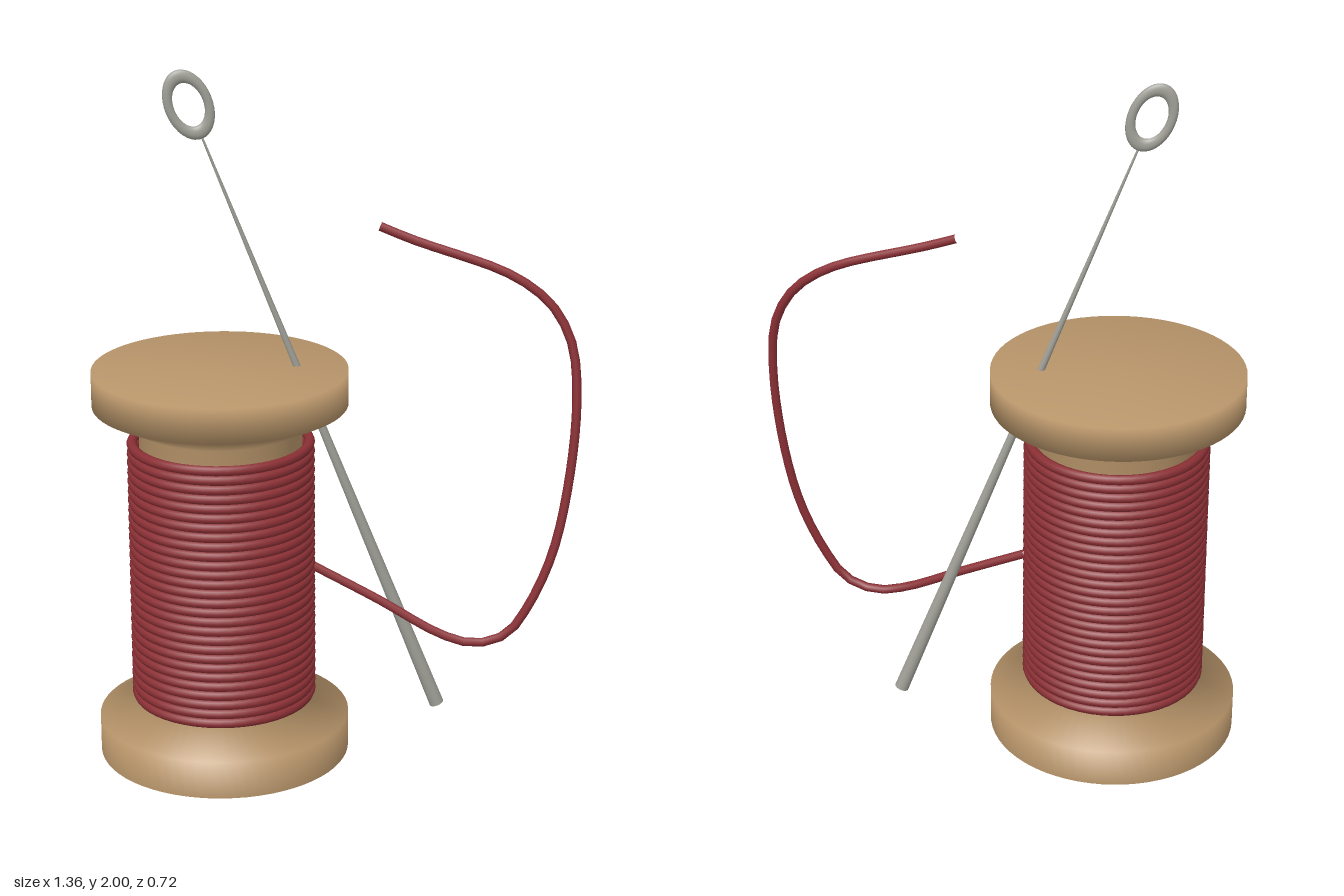
import * as THREE from 'three';

const material = (name, color, side = THREE.FrontSide) => {
  const m = new THREE.MeshStandardMaterial({ color, side });
  m.name = name;
  return m;
};

export function createModel() {
  const model = new THREE.Group();
  const wood = material('wood', 0xb8956a, THREE.DoubleSide);
  const red = material('redThread', 0x8b3035);
  const steel = material('steel', 0xa0a098);
  const add = (parent, name, geometry, mat) => {
    const mesh = new THREE.Mesh(geometry, mat);
    mesh.name = name;
    parent.add(mesh);
    return mesh;
  };

  // Hollow wooden spool, open underneath, with flared flanges
  const spool = new THREE.Group();
  spool.name = 'spool';
  spool.position.x = -0.32;
  model.add(spool);
  const profile = [
    [0.36, 0], [0.36, 0.11], [0.23, 0.17], [0.23, 0.985],
    [0.36, 1.05], [0.36, 1.15], [0, 1.15],
  ].map(([r, y]) => new THREE.Vector2(r, y));
  add(spool, 'spoolBody', new THREE.LatheGeometry(profile, 64), wood);

  // Wound thread: one ring per turn
  const turns = 28, low = 0.18, high = 0.935;
  const ring = new THREE.TorusGeometry(0.251, 0.0145, 8, 48);
  ring.rotateX(Math.PI / 2);
  for (let i = 0; i < turns; i++) {
    const y = low + (high - low) * i / (turns - 1);
    add(spool, 'threadTurn', ring, red).position.y = y;
  }

  // Loose end of the thread
  const path = new THREE.CatmullRomCurve3([
    [-0.06, 0.55, 0.01], [0.12, 0.46, 0.065], [0.30, 0.365, 0.125],
    [0.39, 0.345, 0.147], [0.475, 0.375, 0.165], [0.53, 0.45, 0.173],
    [0.60, 0.61, 0.174], [0.645, 0.82, 0.165], [0.665, 1.07, 0.153],
    [0.65, 1.23, 0.135], [0.60, 1.33, 0.115], [0.54, 1.385, 0.1],
    [0.46, 1.43, 0.08], [0.22, 1.51, 0.025], [0.13, 1.545, 0],
  ].map((p) => new THREE.Vector3(...p)));
  add(model, 'looseThread', new THREE.TubeGeometry(path, 40, 0.013, 8), red);

  // Needle leaning through the spool: tapered shaft and flattened eye
  const bottom = new THREE.Vector3(0.305, 0.095, 0);
  const top = new THREE.Vector3(-0.36, 1.81, 0);
  const length = bottom.distanceTo(top);
  const needle = new THREE.Group();
  needle.name = 'needle';
  needle.position.copy(bottom).add(top).multiplyScalar(0.5);
  needle.rotation.z = Math.atan2(bottom.x - top.x, top.y - bottom.y);
  model.add(needle);
  add(needle, 'needleShaft', new THREE.CylinderGeometry(0.003, 0.021, length, 16), steel);
  const eye = add(needle, 'needleEye', new THREE.TorusGeometry(0.068, 0.016, 10, 40), steel);
  eye.scale.set(0.78, 1.2, 0.6);
  eye.position.y = length / 2 + 0.095;

  return model;
}
